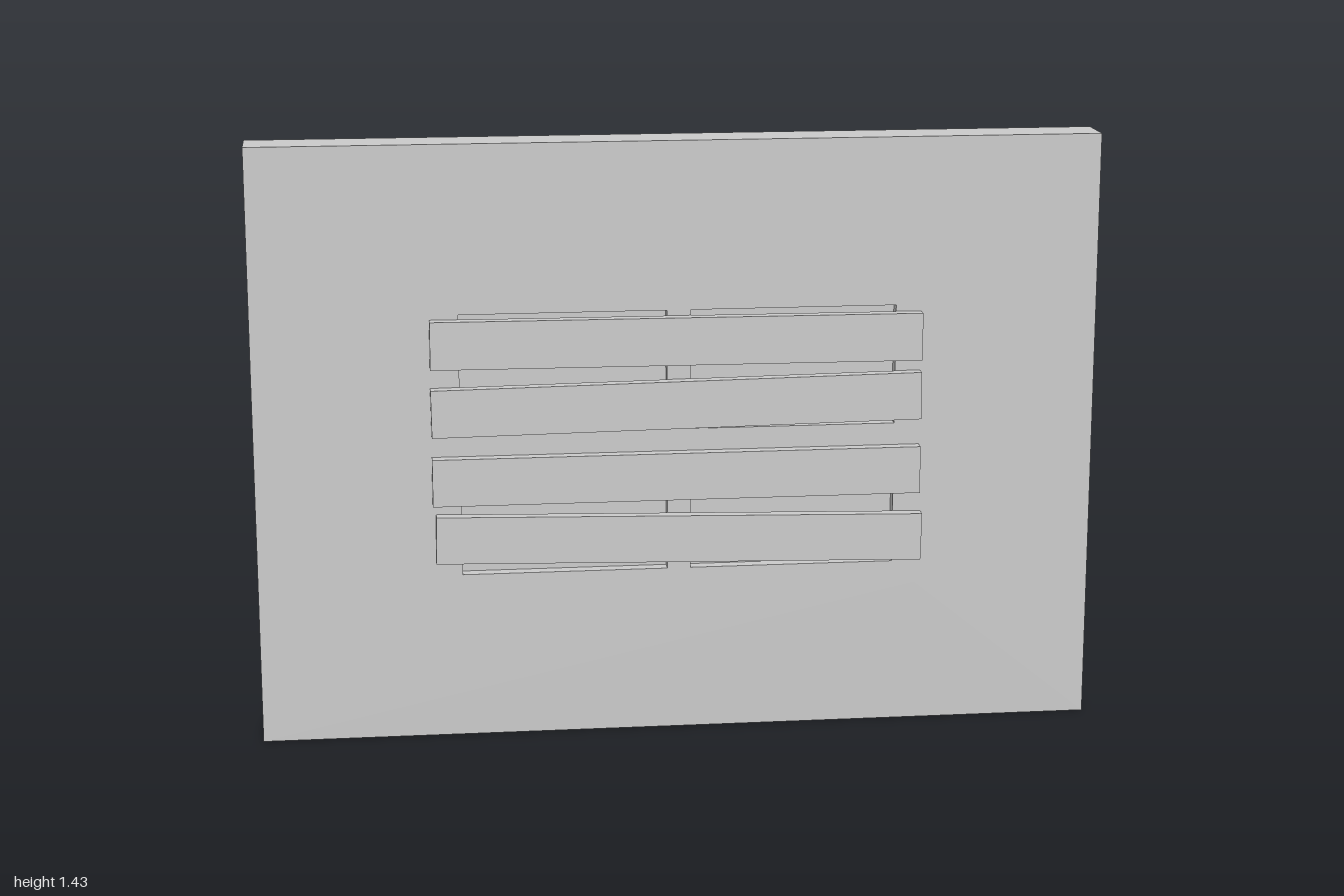
import * as THREE from 'three';

const material = new THREE.MeshStandardMaterial({ color: 0xcccccc, flatShading: true });

// Adds a rectangle given by its edges to a shape or path
function rect(path, x0, y0, x1, y1) {
  path.moveTo(x0, y0);
  path.lineTo(x1, y0);
  path.lineTo(x1, y1);
  path.lineTo(x0, y1);
  path.closePath();
  return path;
}

// Flat panel with rectangular holes, spanning zBack to zFront
function panel(name, outline, holes, zBack, zFront) {
  const shape = rect(new THREE.Shape(), ...outline);
  for (const hole of holes) shape.holes.push(rect(new THREE.Path(), ...hole));
  const geometry = new THREE.ExtrudeGeometry(shape, { depth: zFront - zBack, bevelEnabled: false });
  geometry.translate(0, 0, zBack);
  const mesh = new THREE.Mesh(geometry, material);
  mesh.name = name;
  return mesh;
}

export function createModel() {
  const model = new THREE.Group();
  model.name = 'boardedWindowWall';
  const WALL_FRONT = 0.05;
  const frameOutline = [-0.573, 0.345, 0.573, 1.085];

  // Wall with the window opening
  model.add(panel('wall', [-1, 0, 1, 1.43], [frameOutline], -0.065, WALL_FRONT));

  // Window frame with four lights, standing proud at the back
  const lights = [];
  for (const [x0, x1] of [[-0.517, -0.028], [0.028, 0.517]]) {
    for (const [y0, y1] of [[0.4, 0.687], [0.743, 1.03]]) lights.push([x0, y0, x1, y1]);
  }
  model.add(panel('windowFrame', frameOutline, lights, -0.077, WALL_FRONT));

  // Panes set within the frame
  for (const light of lights) model.add(panel('windowPane', light, [], -0.034, 0.019));

  // Boards nailed across the front, each slightly askew: centre x, centre y, tilt
  const boards = [
    [-0.004, 0.96, -0.004],
    [-0.004, 0.807, 0.013],
    [-0.004, 0.633, 0],
    [0.002, 0.48, -0.0225],
  ];
  for (const [x, y, tilt] of boards) {
    const board = new THREE.Mesh(new THREE.BoxGeometry(1.162, 0.114, 0.029), material);
    board.name = 'board';
    board.position.set(x, y, WALL_FRONT + 0.0145);
    board.rotation.z = tilt;
    model.add(board);
  }
  return model;
}
